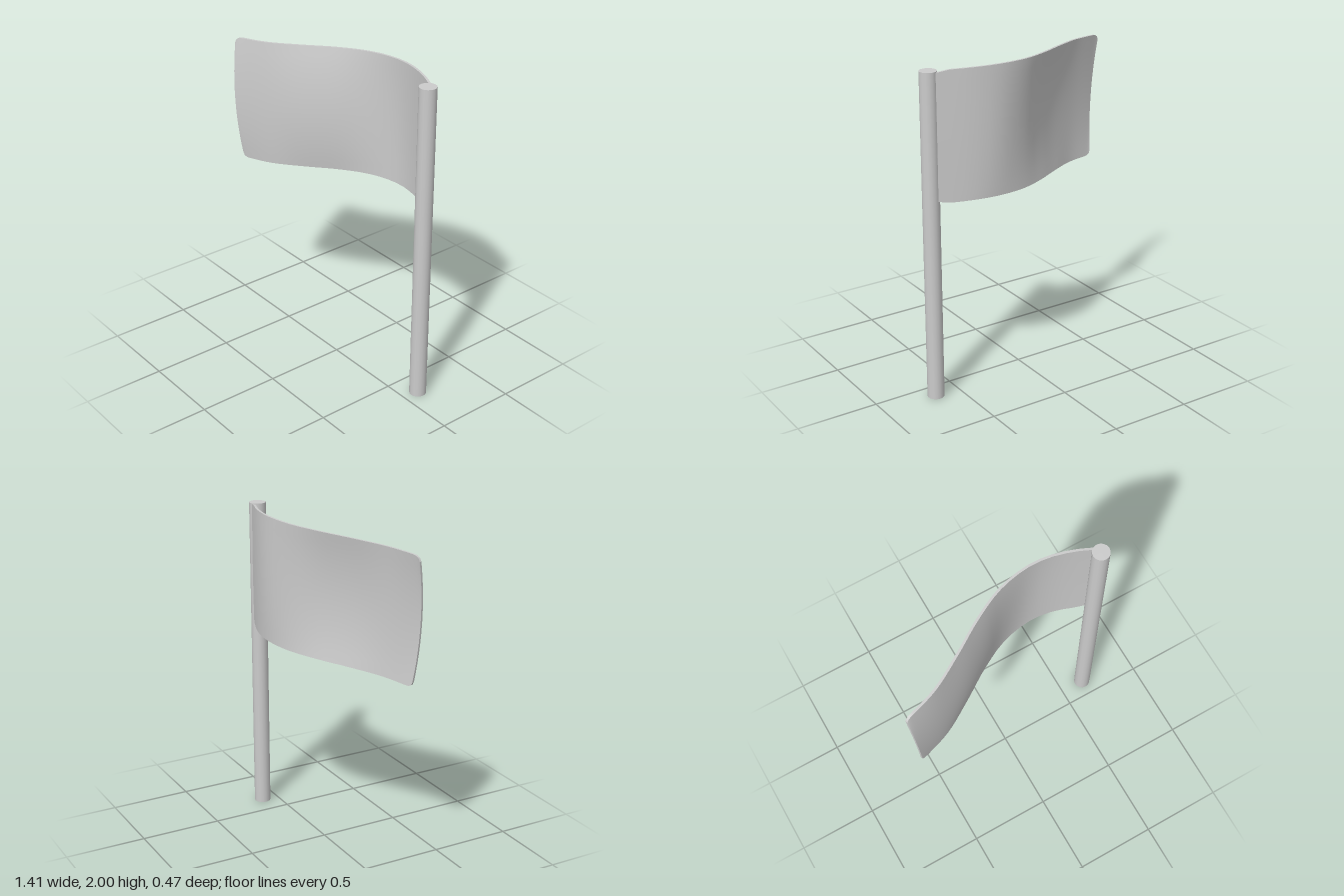
import * as THREE from 'three';

const material = new THREE.MeshStandardMaterial({ color: 0xcccccc });

// Flag centre lines from free end to hoist: [x, y, z at mid height, z at top and bottom edges]
const WAVE = [
  [-0.685, 1.552, 0.228, 0.198],
  [-0.48, 1.565, 0.155, 0.13],
  [-0.29, 1.58, 0.065, 0.022],
  [-0.1, 1.595, -0.055, -0.098],
  [0.08, 1.606, -0.172, -0.185],
  [0.27, 1.614, -0.23, -0.222],
  [0.43, 1.616, -0.212, -0.208],
  [0.63, 1.612, -0.145, -0.142],
];
const curveOf = (zIndex) =>
  new THREE.CatmullRomCurve3(WAVE.map((p) => new THREE.Vector3(p[0], p[1], p[zIndex])));

function makeFlag() {
  const mid = curveOf(2), edge = curveOf(3);
  const length = mid.getLength();
  const halfHeight = 0.384, thickness = 0.014, radius = 0.045;
  const geo = new THREE.BoxGeometry(1, 2, 1, 28, 12, 1);
  const pos = geo.attributes.position;

  for (let i = 0; i < pos.count; i++) {
    const u = Math.pow(pos.getX(i) + 0.5, 1.5); // columns crowd toward the free end
    const v = pos.getY(i), side = pos.getZ(i);

    // Rounded corners at the free end, small ones at the hoist
    const d = u * length, e = (1 - u) * length;
    let h = halfHeight;
    if (d < radius) h -= 0.7 * (radius - Math.sqrt(radius ** 2 - (radius - d) ** 2));
    if (e < 0.02) h -= 0.012;

    // The cloth bulges between its top and bottom edges
    const p = mid.getPointAt(u).lerp(edge.getPointAt(u), v * v);
    const t = mid.getTangentAt(u);
    const lean = -0.022 * v * (1 - u);
    pos.setXYZ(
      i,
      p.x + lean - t.z * side * thickness,
      p.y + v * h,
      p.z + t.x * side * thickness
    );
  }
  geo.computeVertexNormals();
  const flag = new THREE.Mesh(geo, material);
  flag.name = 'flag';
  return flag;
}

export function createModel() {
  const group = new THREE.Group();
  group.name = 'flagOnPole';

  // Pole
  const pole = new THREE.Mesh(new THREE.CylinderGeometry(0.051, 0.051, 1.99, 16), material);
  pole.name = 'pole';
  pole.position.set(0.653, 0.995, -0.102);
  group.add(pole, makeFlag());
  return group;
}
